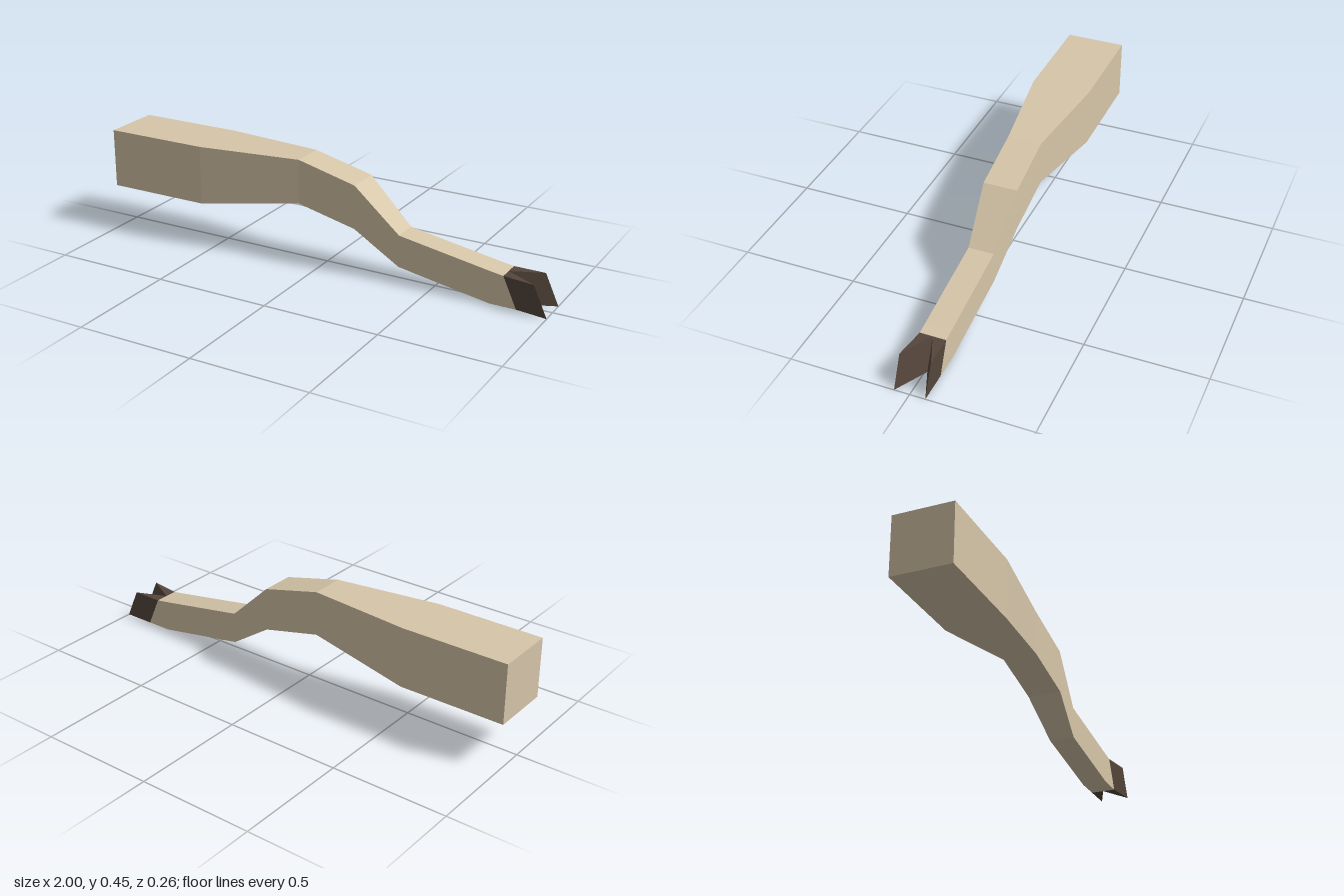
import * as THREE from 'three';

// Skin a row of rings, each counter-clockwise seen from the far end, with flat caps.
function loft(rings) {
  const pos = [];
  const tri = (...pts) => pts.forEach((p) => pos.push(...p));
  for (let i = 0; i < rings.length - 1; i++) {
    const a = rings[i], b = rings[i + 1], n = a.length;
    for (let j = 0; j < n; j++) {
      const k = (j + 1) % n;
      tri(a[j], a[k], b[k]);
      tri(a[j], b[k], b[j]);
    }
  }
  const first = rings[0], last = rings[rings.length - 1];
  for (let j = 1; j < first.length - 1; j++) {
    tri(first[0], first[j + 1], first[j]);
    tri(last[0], last[j], last[j + 1]);
  }
  const geometry = new THREE.BufferGeometry();
  geometry.setAttribute('position', new THREE.Float32BufferAttribute(pos, 3));
  geometry.computeVertexNormals();
  return geometry;
}

export function createModel() {
  const hide = new THREE.MeshStandardMaterial({ name: 'tan hide', color: 0xd6c6a9 });
  const horn = new THREE.MeshStandardMaterial({ name: 'dark hoof', color: 0x55463b });
  const model = new THREE.Group();
  model.name = 'hoofedLeg';

  const add = (name, geometry, material) => {
    const mesh = new THREE.Mesh(geometry, material);
    mesh.name = name;
    model.add(mesh);
  };

  // Leg sections: bottom x, bottom y, top x, top y, back z, front z
  const sections = [
    [-1, 0.197, -1, 0.452, -0.128, 0.128],
    [-0.545, 0.197, -0.545, 0.452, -0.128, 0.128],
    [-0.1, 0.26, -0.1, 0.452, -0.083, 0.062],
    [0.16, 0.2, 0.16, 0.388, -0.083, 0.062],
    [0.355, 0.068, 0.355, 0.205, -0.064, 0.045],
    [0.755, 0, 0.755, 0.138, -0.064, 0.045],
    [0.867, 0, 0.808, 0.13, -0.064, 0.045],
  ];
  add('leg', loft(sections.map(([xb, yb, xt, yt, back, front]) => [
    [xb, yb, front], [xb, yb, back], [xt, yt, back], [xt, yt, front],
  ])), hide);

  // Cloven hoof: two slanted wedges, outlined as x offset and z
  const toes = {
    backToe: [[0, -0.064], [0, -0.009], [0.133, -0.064]],
    frontToe: [[0, -0.009], [0, 0.045], [0.133, 0.064]],
  };
  for (const [name, outline] of Object.entries(toes)) {
    const ring = (x0, y) => outline.map(([x, z]) => [x0 + x, y, z]);
    add(name, loft([ring(0.867, 0), ring(0.808, 0.13)]), horn);
  }
  return model;
}
